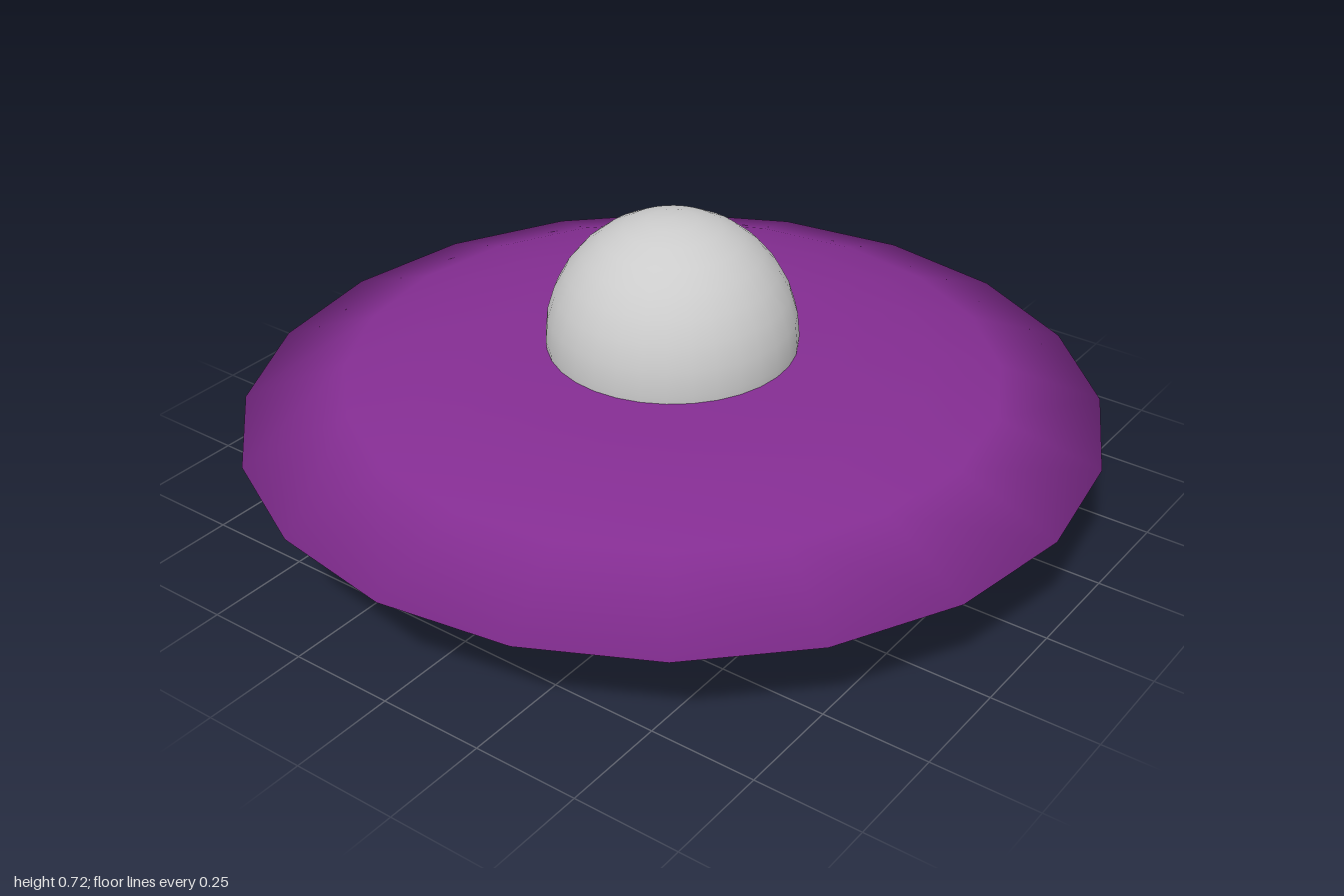
import * as THREE from 'three';
import { mergeVertices } from 'three/addons/utils/BufferGeometryUtils.js';

const SIDES = 20;

export function createModel() {
  const group = new THREE.Group();
  const purple = new THREE.MeshStandardMaterial({ color: 0x842d92 });
  const purpleThin = new THREE.MeshStandardMaterial({ color: 0x842d92, side: THREE.DoubleSide });
  const grey = new THREE.MeshStandardMaterial({ color: 0xcccccc });

  // Saucer hull: one smooth twenty-sided turned body, from the base centre to the top centre
  const profile = [
    [0, 0], [0.39, 0], [0.505, 0.15], [0.6, 0.165], [0.78, 0.203], [1, 0.25],
    [0.76, 0.34], [0.6, 0.38], [0.4, 0.405], [0, 0.405],
  ].map(([r, y]) => new THREE.Vector2(r, y));
  let hullGeometry = new THREE.LatheGeometry(profile, SIDES);
  hullGeometry.deleteAttribute('uv');
  hullGeometry.deleteAttribute('normal');

  // Hatch opening: lift the base corner next to the front one
  hullGeometry.attributes.position.setXYZ(profile.length + 1, 0.135, 0.14, 0.42);
  hullGeometry = mergeVertices(hullGeometry, 1e-4);
  hullGeometry.computeVertexNormals();
  const hull = new THREE.Mesh(hullGeometry, purple);
  hull.name = 'saucerHull';
  group.add(hull);

  // Small ramp inside the hatch opening
  const rampGeometry = new THREE.BufferGeometry();
  rampGeometry.setAttribute('position', new THREE.Float32BufferAttribute([
    0, 0, 0.39, 0.229, 0, 0.316, 0.19, 0.055, 0.29, 0.05, 0.055, 0.34,
  ], 3));
  rampGeometry.setIndex([0, 1, 2, 0, 2, 3]);
  rampGeometry.computeVertexNormals();
  const ramp = new THREE.Mesh(rampGeometry, purpleThin);
  ramp.name = 'hatchRamp';
  group.add(ramp);

  // Cockpit dome, sunk into the top of the hull
  const dome = new THREE.Mesh(new THREE.SphereGeometry(0.292, 32, 16), grey);
  dome.name = 'cockpitDome';
  dome.position.y = 0.425;
  group.add(dome);

  return group;
}
